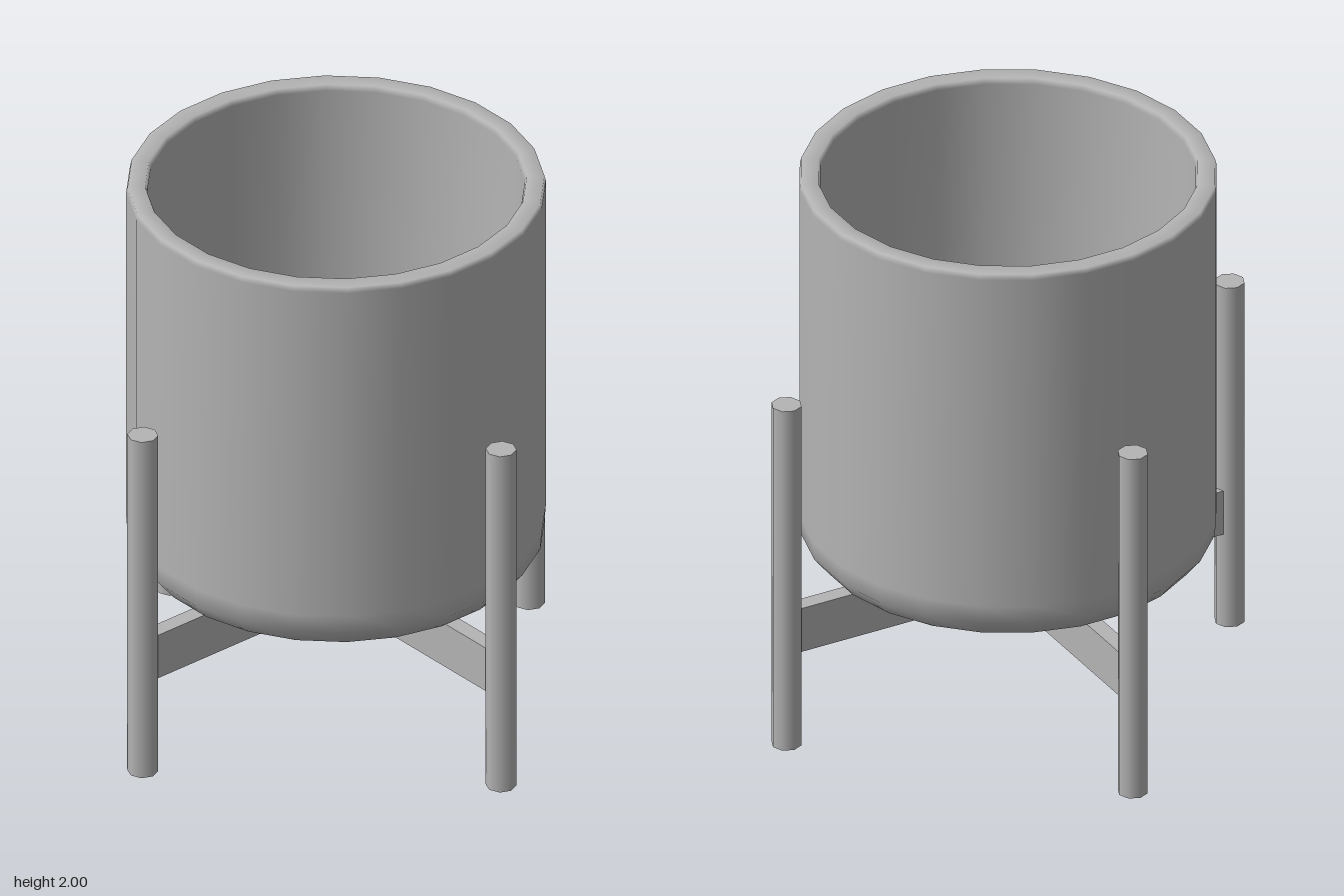
import * as THREE from 'three';

export function createModel() {
  const model = new THREE.Group();
  const grey = new THREE.MeshStandardMaterial({ color: 0xb4b4b4 });
  grey.name = 'grey';

  const add = (parent, name, geometry, x = 0, y = 0, z = 0) => {
    const mesh = new THREE.Mesh(geometry, grey);
    mesh.name = name;
    mesh.position.set(x, y, z);
    parent.add(mesh);
    return mesh;
  };

  // Hollow pot: underside, bevelled base, outer wall, rim, inner wall, floor
  const profile = [
    [0, 0.535], [0.55, 0.537], [0.66, 0.565], [0.712, 0.63], [0.717, 0.7],
    [0.717, 1.98], [0.712, 2], [0.652, 2], [0.645, 1.98],
    [0.64, 0.72], [0.6, 0.65], [0.52, 0.62], [0, 0.615],
  ].map(([r, y]) => new THREE.Vector2(r, y));
  add(model, 'pot', new THREE.LatheGeometry(profile, 24));

  // Stand: crossed bars with a round leg at each end
  const stand = new THREE.Group();
  stand.name = 'stand';
  stand.rotation.y = THREE.MathUtils.degToRad(22.4);
  model.add(stand);

  const legDistance = 0.867;
  const barGeometry = new THREE.BoxGeometry(legDistance * 2, 0.17, 0.06);
  const legGeometry = new THREE.CylinderGeometry(0.053, 0.053, 1.33, 8);
  for (let i = 0; i < 2; i++) {
    add(stand, 'crossBar', barGeometry, 0, 0.447, 0).rotation.y = i * Math.PI / 2;
  }
  for (let i = 0; i < 4; i++) {
    const a = i * Math.PI / 2;
    add(stand, 'leg', legGeometry, Math.cos(a) * legDistance, 0.665, Math.sin(a) * legDistance);
  }
  return model;
}
